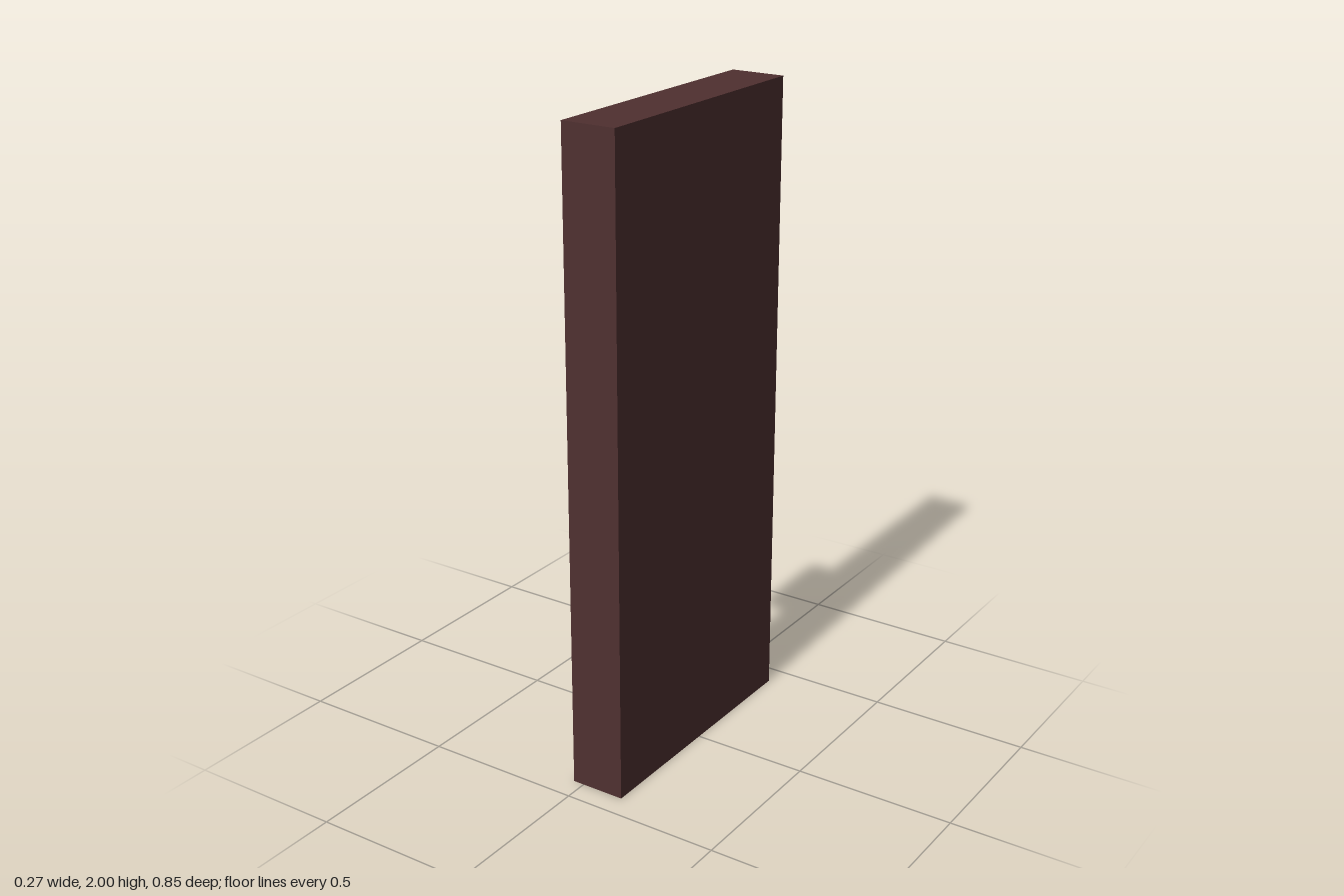
import * as THREE from 'three';
import { toCreasedNormals } from 'three/addons/utils/BufferGeometryUtils.js';

export function createModel() {
  const group = new THREE.Group();
  const material = new THREE.MeshStandardMaterial({ color: 0x4f3030 });

  // Upright flat slab
  const faceX = -0.035, backX = 0.137;
  const slab = new THREE.Mesh(new THREE.BoxGeometry(backX - faceX, 2, 0.85), material);
  slab.name = 'slab';
  slab.position.set((faceX + backX) / 2, 1, 0);
  group.add(slab);

  // Round knobs with a softened rim, standing out towards -x
  const profile = [
    [0.147, 0], [0.147, 0.065], [0.145, 0.082], [0.141, 0.096], [0.128, 0.101], [0, 0.102],
  ].map(([r, h]) => new THREE.Vector2(r, h));
  const knobGeometry = toCreasedNormals(new THREE.LatheGeometry(profile, 40), 0.7);
  for (const [name, y] of [['upperKnob', 1.295], ['lowerKnob', 0.71]]) {
    const knob = new THREE.Mesh(knobGeometry, material);
    knob.name = name;
    knob.rotation.z = Math.PI / 2;
    knob.position.set(faceX, y, 0);
    group.add(knob);
  }

  return group;
}
